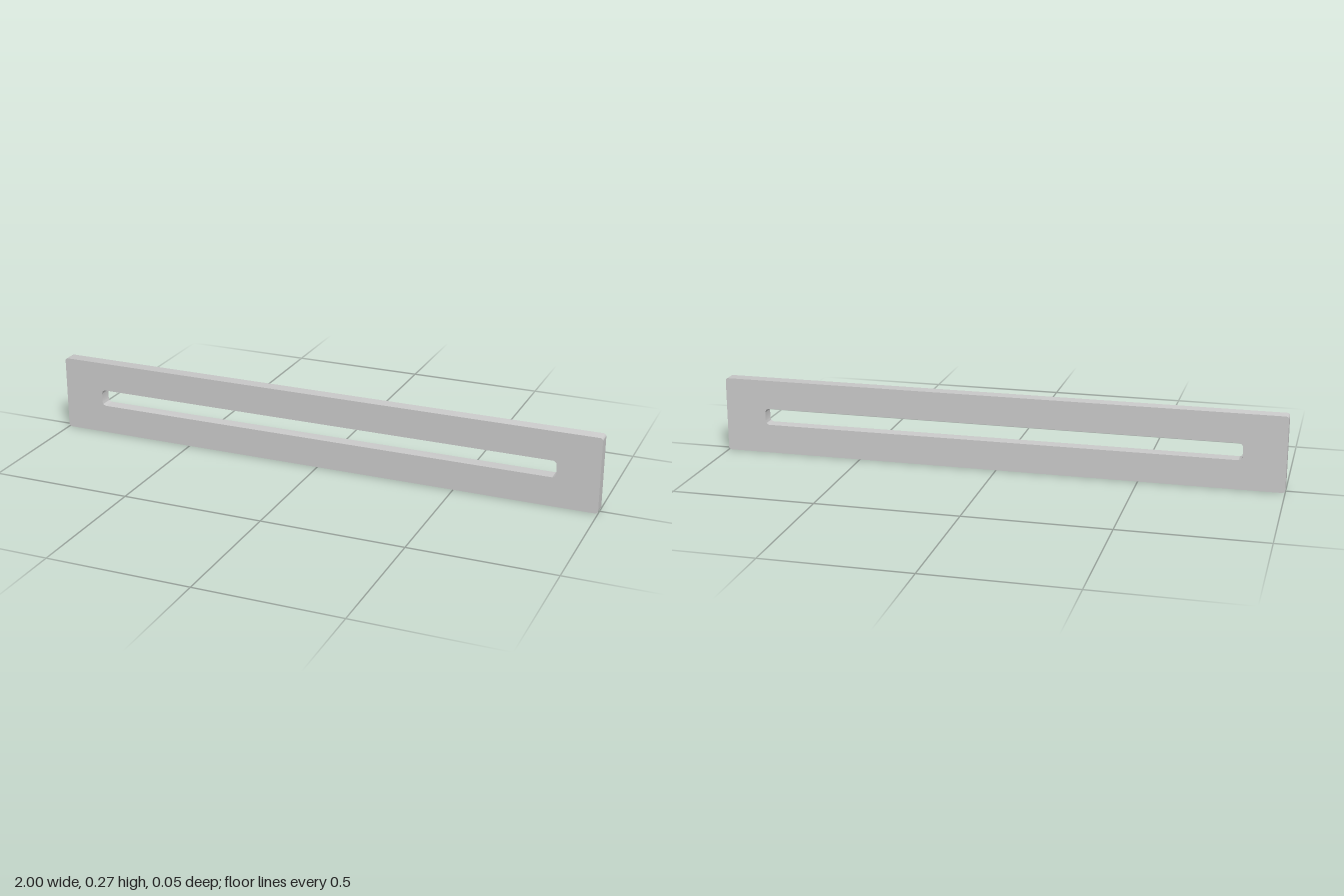
import * as THREE from 'three';
import { toCreasedNormals } from 'three/addons/utils/BufferGeometryUtils.js';

const WIDTH = 2, HEIGHT = 0.268, DEPTH = 0.0455;
const SLOT_WIDTH = 1.706, SLOT_HEIGHT = 0.06;

// Rounded rectangle centred on the origin
function roundedRect(path, w, h, r) {
  const x = w / 2 - r, y = h / 2 - r;
  path.absarc(x, y, r, 0, Math.PI / 2);
  path.absarc(-x, y, r, Math.PI / 2, Math.PI);
  path.absarc(-x, -y, r, Math.PI, Math.PI * 1.5);
  path.absarc(x, -y, r, Math.PI * 1.5, Math.PI * 2);
  path.closePath();
  return path;
}

export function createModel() {
  const group = new THREE.Group();
  group.name = 'slottedBar';

  // Flat bar with softened corners and a long slot through it
  const outline = roundedRect(new THREE.Shape(), WIDTH, HEIGHT, 0.01);
  outline.holes.push(roundedRect(new THREE.Path(), SLOT_WIDTH, SLOT_HEIGHT, 0.015));
  const geometry = new THREE.ExtrudeGeometry(outline, {
    depth: DEPTH, bevelEnabled: false, curveSegments: 8,
  });
  geometry.translate(0, HEIGHT / 2, -DEPTH / 2);

  const plate = new THREE.Mesh(
    toCreasedNormals(geometry, 0.5),
    new THREE.MeshStandardMaterial({ color: 0xcccccc }),
  );
  plate.name = 'slottedPlate';
  group.add(plate);
  return group;
}
